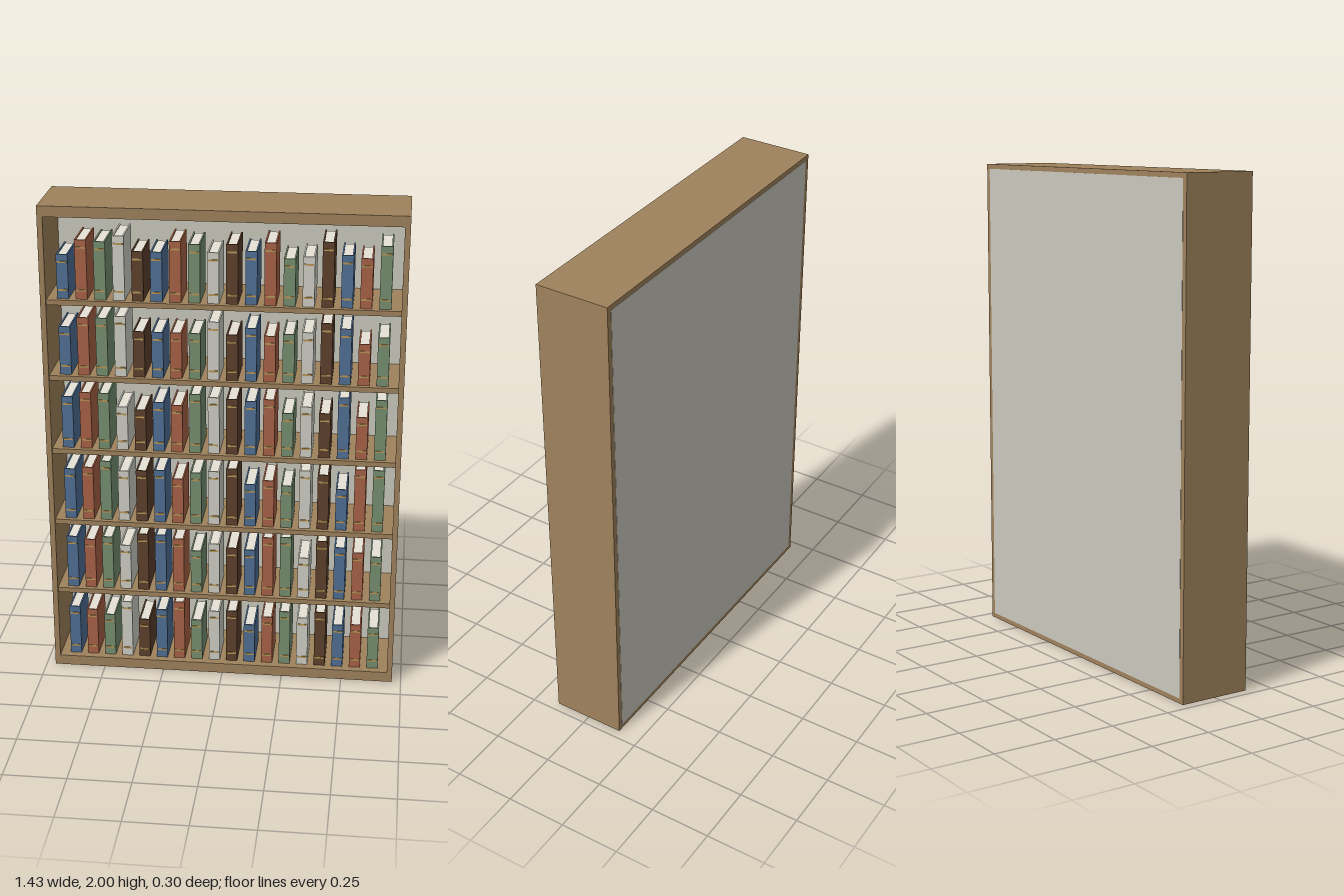
import * as THREE from 'three';

const mat = (name, color) => {
  const m = new THREE.MeshStandardMaterial({ color });
  m.name = name;
  return m;
};

const wood = mat('wood', 0x9f825c);
const backing = mat('backing', 0xcbc9be);
const paper = mat('paper', 0xe6e2d6);
const gold = mat('gold', 0xb89656);
const covers = [
  mat('blue cloth', 0x4f6f94),
  mat('red cloth', 0xa86246),
  mat('green cloth', 0x768f70),
  mat('ivory cloth', 0xcfcfc6),
  mat('brown cloth', 0x5d402b),
];

const W = 1.426, H = 2, D = 0.303;   // outer size of the case
const SIDE = 0.022, BOARD = 0.043;   // thickness of side walls, top and bottom

// Book heights in hundredths, one row per shelf from bottom to top
const ROWS = [
  [22, 21, 19, 25.5, 17.5, 22.5, 26.5, 18.5, 23, 23.5, 17.5, 21.5, 24.5, 22, 25, 19.5, 20, 19],
  [23, 22, 23.5, 20, 25.5, 25.5, 24, 19, 22.5, 21, 20.5, 26.5, 27, 18, 26, 23.5, 21.5, 20],
  [22, 23, 26, 22, 22.5, 23, 19.5, 22.5, 23.5, 25, 18.5, 20.5, 18.5, 25.5, 24, 18, 27, 27],
  [22, 24, 24, 18.5, 17.5, 21, 20, 25, 24, 23.5, 23, 24, 18.5, 21.5, 19, 26, 18, 25.5],
  [20, 24, 24, 25, 19, 19, 19, 19, 24, 19, 22, 19, 20, 21, 25, 23, 17, 20],
  [18, 24, 23.5, 26, 20, 20, 24.5, 23.5, 20.5, 24, 21.5, 25, 19, 20, 26, 21, 20, 25],
];

// Box given by its size and centre
function box(parent, name, material, w, h, d, x, y, z) {
  const m = new THREE.Mesh(new THREE.BoxGeometry(w, h, d), material);
  m.name = name;
  m.position.set(x, y, z);
  parent.add(m);
  return m;
}

// Book standing on y = 0 with its spine towards +z
function makeBook(height, cover) {
  const g = new THREE.Group();
  g.name = 'book';
  const w = 0.046, d = 0.18, t = 0.006;
  for (const s of [-1, 1]) {
    box(g, 'coverBoard', cover, t, height, d, s * (w - t) / 2, height / 2, 0);
  }
  box(g, 'spine', cover, w - 2 * t, height, t, 0, height / 2, (d - t) / 2);
  box(g, 'pages', paper, w - 2 * t, height - 0.008, d - t - 0.006, 0, height / 2, 0);
  for (const y of [0.036, height - 0.031]) {
    box(g, 'spineBand', gold, 0.037, 0.007, 0.003, 0, y, d / 2 + 0.001);
  }
  return g;
}

export function createModel() {
  const model = new THREE.Group();
  model.name = 'bookcase';

  // Case
  const frame = new THREE.Group();
  frame.name = 'frame';
  model.add(frame);
  for (const s of [-1, 1]) {
    box(frame, s > 0 ? 'leftWall' : 'rightWall', wood, SIDE, H, D, s * (W - SIDE) / 2, H / 2, 0);
  }
  const inner = W - 2 * SIDE;
  box(frame, 'topBoard', wood, inner, BOARD, D, 0, H - BOARD / 2, 0);
  box(frame, 'bottomBoard', wood, inner, BOARD, D, 0, BOARD / 2, 0);
  box(frame, 'backPanel', backing, inner, H - 0.04, 0.014, 0, H / 2, -D / 2 + 0.006);

  // Shelves and their books
  ROWS.forEach((heights, r) => {
    const top = 0.045 + r * 0.3153;
    if (r > 0) box(model, 'shelf', wood, inner, 0.021, 0.28, 0, top - 0.0105, 0);
    const row = new THREE.Group();
    row.name = 'bookRow';
    row.position.y = r === 0 ? BOARD : top;
    heights.forEach((h, i) => {
      const book = makeBook(h / 100, covers[i % covers.length]);
      book.position.set((i - 8.5) * 0.0739, 0, 0.03);
      row.add(book);
    });
    model.add(row);
  });

  return model;
}
